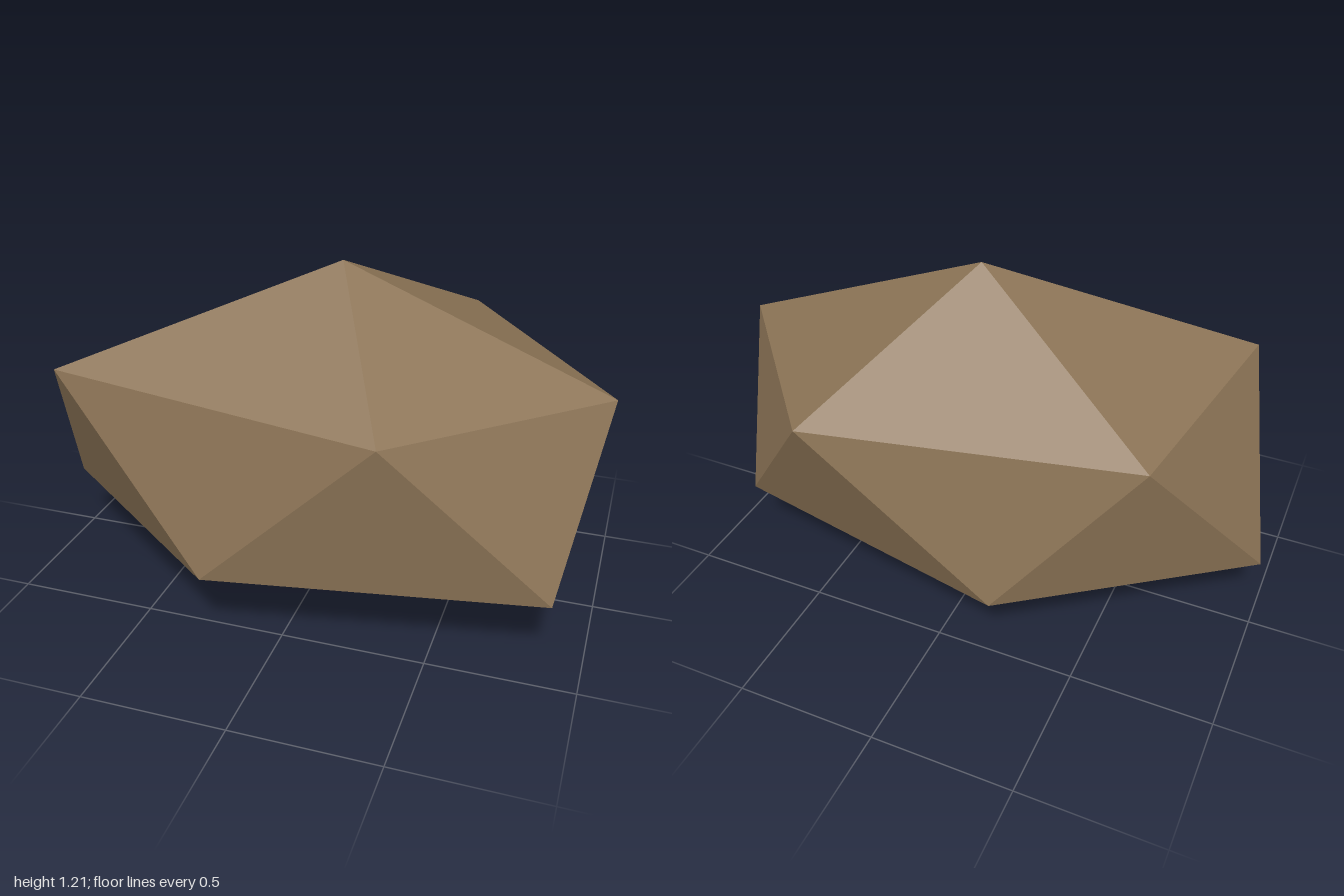
import * as THREE from 'three';

// Faceted boulder: two poles joined by two staggered five-point rings.
export function createModel() {
  const group = new THREE.Group();
  group.name = 'rock';

  const top = [0.07, 1.21, 0.04];
  const upper = [
    [1, 0.83, 0.04], [0.35, 0.82, 0.61], [-0.81, 0.87, 0.46],
    [-0.66, 0.8, -0.32], [0.41, 0.875, -0.65],
  ];
  const lower = [
    [0.89, 0.26, 0.43], [-0.23, 0.275, 0.65], [-1, 0.25, 0.04],
    [-0.22, 0.28, -0.56], [0.85, 0.275, -0.34],
  ];
  const bottom = [0.07, 0, 0.04];

  const positions = [];
  const face = (a, b, c) => positions.push(...a, ...b, ...c);
  for (let i = 0; i < 5; i++) {
    const j = (i + 1) % 5;
    face(top, upper[j], upper[i]); // cap
    face(upper[i], upper[j], lower[i]); // side, pointing down
    face(lower[i], upper[j], lower[j]); // side, pointing up
    face(bottom, lower[i], lower[j]); // underside
  }

  const geometry = new THREE.BufferGeometry();
  geometry.setAttribute('position', new THREE.Float32BufferAttribute(positions, 3));
  geometry.computeVertexNormals();

  const stone = new THREE.MeshStandardMaterial({ color: 0x8b7355, flatShading: true });
  stone.name = 'brown stone';

  const boulder = new THREE.Mesh(geometry, stone);
  boulder.name = 'boulder';
  group.add(boulder);
  return group;
}
